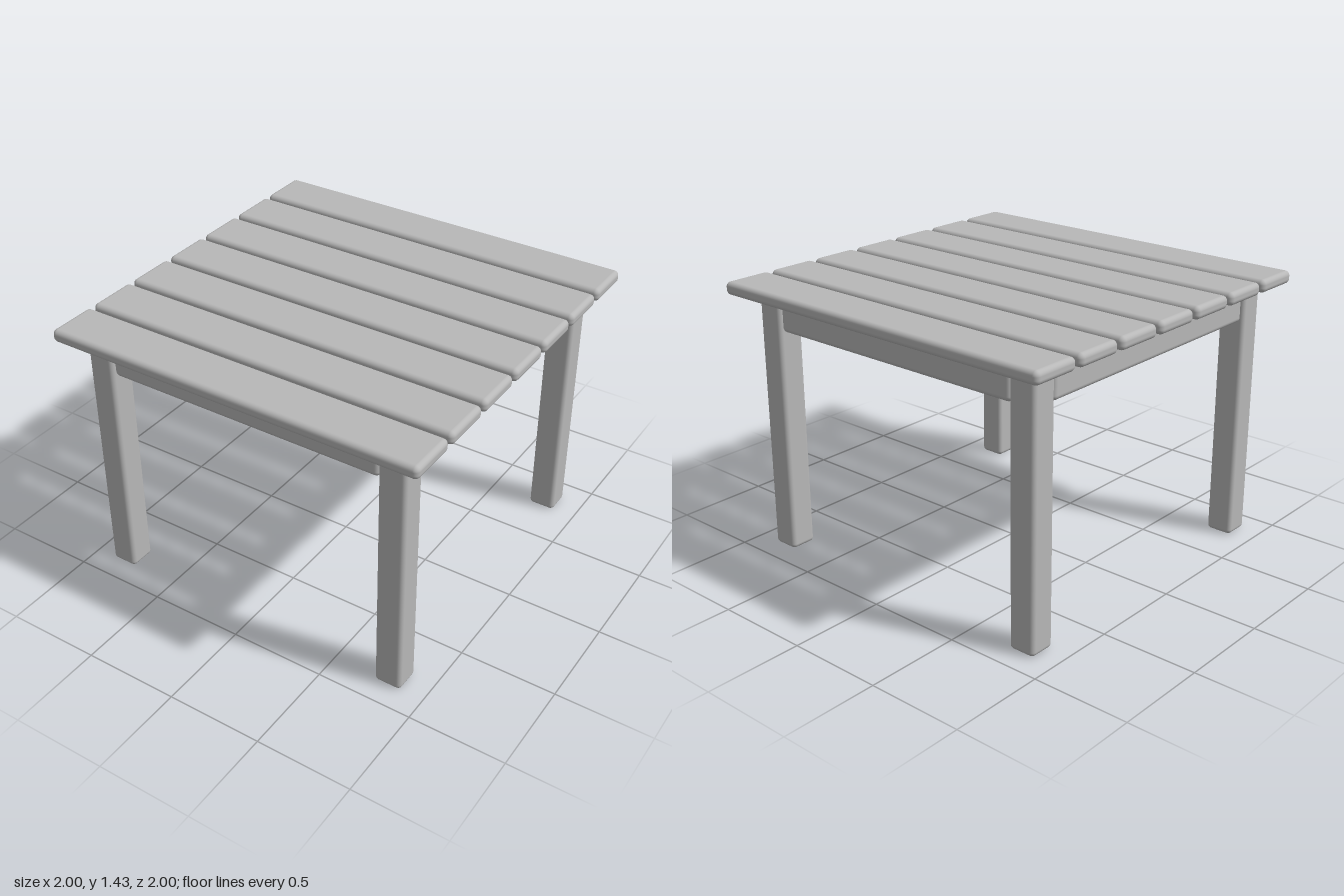
import * as THREE from 'three';
import { RoundedBoxGeometry } from 'three/addons/geometries/RoundedBoxGeometry.js';

export function createModel() {
  const group = new THREE.Group();
  group.name = 'slattedTable';
  const wood = new THREE.MeshStandardMaterial({ color: 0xb8b8b8 });
  wood.name = 'plainGrey';

  // Rounded board given by its size and centre
  const board = (name, [w, h, d], [x, y, z], radius) => {
    const mesh = new THREE.Mesh(new RoundedBoxGeometry(w, h, d, 4, radius), wood);
    mesh.name = name;
    mesh.position.set(x, y, z);
    group.add(mesh);
  };

  // Table top: seven slats running left to right
  const slatCount = 7, pitch = 0.289;
  for (let i = 0; i < slatCount; i++) {
    const z = (i - (slatCount - 1) / 2) * pitch;
    board(`slat${i + 1}`, [1.995, 0.067, 0.264], [0, 1.398, z], 0.026);
  }

  // Four square legs
  for (const sx of [-1, 1]) {
    for (const sz of [-1, 1]) {
      const name = (sz > 0 ? 'front' : 'back') + (sx > 0 ? 'Left' : 'Right') + 'Leg';
      board(name, [0.143, 1.36, 0.143], [sx * 0.813 - 0.005, 0.685, sz * 0.813], 0.024);
    }
  }

  // Apron rails between the legs, set near their outer faces
  for (const s of [-1, 1]) {
    board(s > 0 ? 'frontRail' : 'backRail', [1.48, 0.168, 0.067], [-0.004, 1.28, s * 0.841], 0.026);
    board(s > 0 ? 'leftRail' : 'rightRail', [0.067, 0.168, 1.484], [s * 0.841 - 0.005, 1.28, 0], 0.026);
  }

  return group;
}
